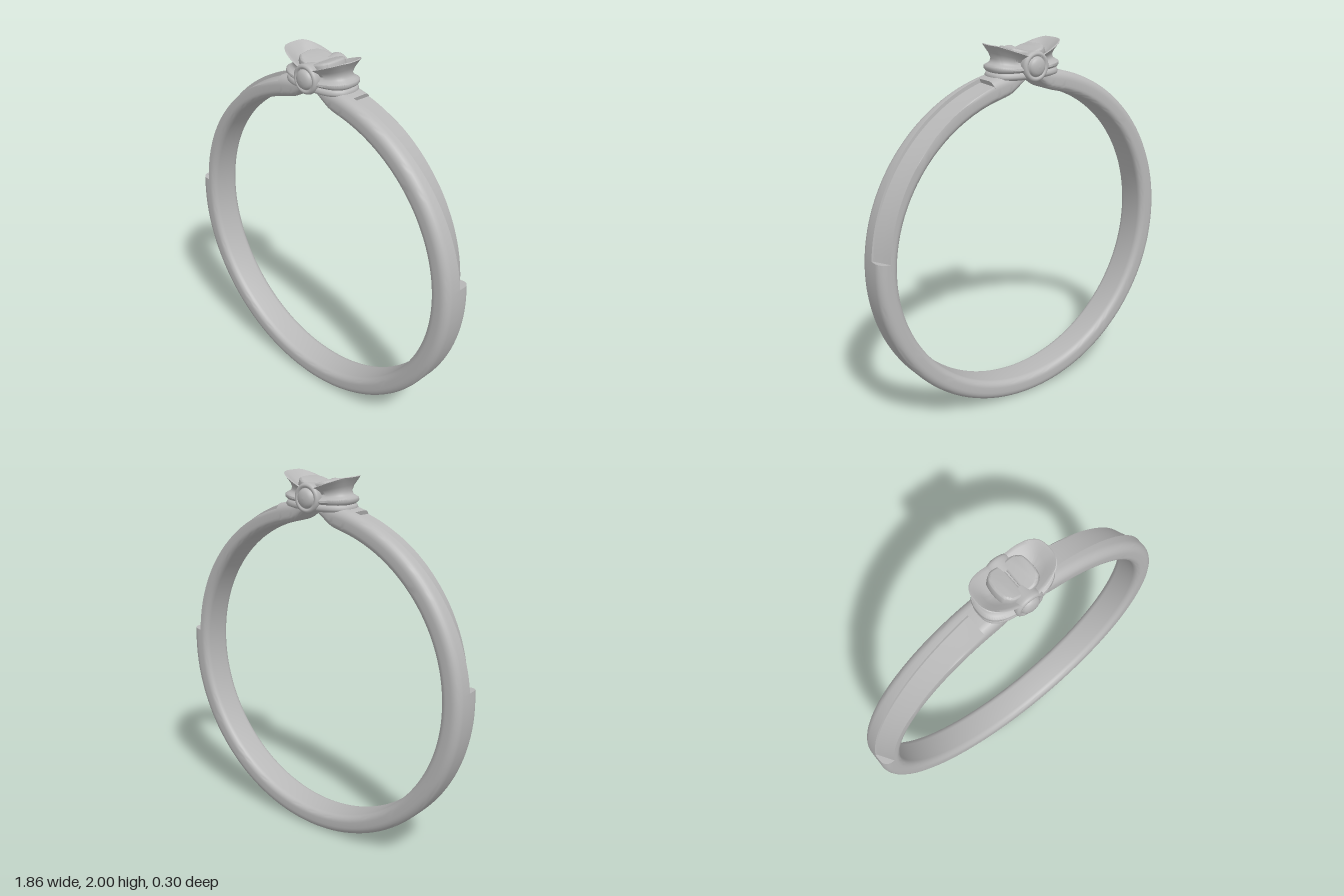
import * as THREE from 'three';
import { toCreasedNormals } from 'three/addons/utils/BufferGeometryUtils.js';

const lerp = THREE.MathUtils.lerp;
const R = 0.93, HALF = 0.093;

// Skins a grid of points; columns always wrap, rows wrap on request
function skin(rows, wrapRows, crease) {
  const m = rows[0].length, index = [];
  const last = wrapRows ? rows.length : rows.length - 1;
  for (let i = 0; i < last; i++) {
    for (let j = 0; j < m; j++) {
      const i2 = (i + 1) % rows.length, j2 = (j + 1) % m;
      const a = i * m + j, b = i2 * m + j, c = i2 * m + j2, d = i * m + j2;
      index.push(a, b, c, a, c, d);
    }
  }
  const g = new THREE.BufferGeometry();
  g.setAttribute('position', new THREE.Float32BufferAttribute(rows.flat(2), 3));
  g.setIndex(index);
  return toCreasedNormals(g, crease);
}

// Band cross-section at an angle; side is -1 or 1 where the tapered recess is cut, else 0
function bandRow(deg, side) {
  const inner = 0.82 + 0.08 * Math.exp(-(((90 - deg) / 5.5) ** 2));
  const thick = R - inner;
  const ro = Math.min(0.045, thick * 0.45), ri = Math.min(0.035, thick * 0.4);
  const t = ((side > 0 ? 180 - deg : deg) - 5.5) / 69.5;
  const wall = side * lerp(0.012, -0.03, t);
  const pts = [];
  const arc = (z, r, rad, from) => {
    for (let k = 0; k <= 6; k++) {
      const a = from + (k / 6) * Math.PI / 2;
      pts.push([z - Math.cos(a) * rad, r + Math.sin(a) * rad]);
    }
  };
  arc(-HALF + ri, inner + ri, ri, -Math.PI / 2);
  arc(-HALF + ro, R - ro, ro, 0);
  pts.push([wall - 0.0005, R], [wall + 0.0005, R]);
  arc(HALF - ro, R - ro, ro, Math.PI / 2);
  arc(HALF - ri, inner + ri, ri, Math.PI);
  const a = THREE.MathUtils.degToRad(deg);
  return pts.map(([z, r]) => {
    const u = side * (z - wall);
    if (u > 0) {
      const floor = lerp(lerp(0.922, 0.91, t), lerp(0.868, 0.905, t), u / (HALF - side * wall));
      r = Math.min(r, floor);
    }
    return [r * Math.cos(a), R + r * Math.sin(a), z];
  });
}

function bandGeometry() {
  const rows = [];
  const spans = [[-90, 5.5, 0, 36], [5.5, 75, -1, 30], [75, 105, 0, 30], [105, 174.5, 1, 30], [174.5, 270, 0, 36]];
  for (const [from, to, side, n] of spans) {
    for (let k = 0; k <= n; k++) {
      if (to === 270 && k === n) continue;
      rows.push(bandRow(lerp(from, to, k / n), side));
    }
  }
  return skin(rows, true, 0.6);
}

// Ribbed, flared crown whose rim dips towards the middle
function crownGeometry() {
  const profile = [
    [-0.11, 1.82], [-0.02, 1.82], [-0.004, 1.828], [0, 1.84], [-0.006, 1.853], [-0.014, 1.858],
    [-0.004, 1.864], [0.004, 1.876], [0.002, 1.89], [-0.012, 1.9], [-0.024, 1.91], [-0.03, 1.93],
    [-0.02, 1.958], [0.0, 1.985], [0.008, 1.997], [0.004, 2.0], [-0.01, 1.993],
    [-0.04, 1.97], [-0.07, 1.95], [-0.115, 1.94],
  ];
  const power = (v) => Math.sign(v) * Math.abs(v) ** 0.75;
  const rows = profile.map(([d, y]) => {
    const row = [];
    for (let k = 0; k < 72; k++) {
      const a = (k / 72) * Math.PI * 2;
      const x = (0.204 + d) * power(Math.cos(a)), z = (0.12 + d) * power(Math.sin(a));
      const dip = (1 - Math.min(1, Math.abs(x) / 0.2)) * 0.55;
      row.push([x, y > 1.86 ? y - (y - 1.86) * dip : y, z]);
    }
    return row;
  });
  return skin(rows, false, 0.9);
}

// Rounded half-pad lying in the crown
function padGeometry() {
  const s = new THREE.Shape();
  s.moveTo(0, -0.08);
  s.lineTo(0.025, -0.08);
  s.bezierCurveTo(0.06, -0.08, 0.065, -0.06, 0.075, -0.055);
  s.quadraticCurveTo(0.092, 0, 0.075, 0.055);
  s.bezierCurveTo(0.065, 0.06, 0.06, 0.08, 0.025, 0.08);
  s.lineTo(0, 0.08);
  s.closePath();
  const g = new THREE.ExtrudeGeometry(s, {
    depth: 0.03, bevelThickness: 0.012, bevelSize: 0.012, bevelSegments: 5, curveSegments: 10,
  });
  g.rotateX(-Math.PI / 2);
  g.translate(0.013, -0.042, 0);
  return toCreasedNormals(g, 0.7);
}

// Round button with a raised rim and a domed centre
function buttonGeometry() {
  const pts = [
    [0.07, 0.05], [0.076, 0.105], [0.078, 0.116], [0.075, 0.126], [0.068, 0.132], [0.06, 0.132],
    [0.054, 0.127], [0.051, 0.125], [0.049, 0.133], [0.043, 0.141], [0.032, 0.147], [0.016, 0.151], [0, 0.152],
  ].map(([r, h]) => new THREE.Vector2(r, h));
  const g = new THREE.LatheGeometry(pts, 48);
  g.rotateX(Math.PI / 2);
  return g;
}

export function createModel() {
  const model = new THREE.Group();
  model.name = 'ring';
  const metal = new THREE.MeshStandardMaterial({ color: 0xb8b8b8 });
  metal.name = 'grey metal';
  const add = (name, geometry) => {
    const mesh = new THREE.Mesh(geometry, metal);
    mesh.name = name;
    model.add(mesh);
    return mesh;
  };

  add('band', bandGeometry());
  add('crown', crownGeometry());

  // Paired parts repeat by a half turn about the vertical axis
  const pad = padGeometry(), button = buttonGeometry();
  for (const [k, padName, buttonName] of [[0, 'leftPad', 'frontButton'], [1, 'rightPad', 'backButton']]) {
    const p = add(padName, pad);
    p.position.y = 1.95;
    p.rotation.set(0, k * Math.PI, 0.3, 'YXZ');
    const b = add(buttonName, button);
    b.position.y = 1.885;
    b.rotation.y = k * Math.PI;
  }
  return model;
}
